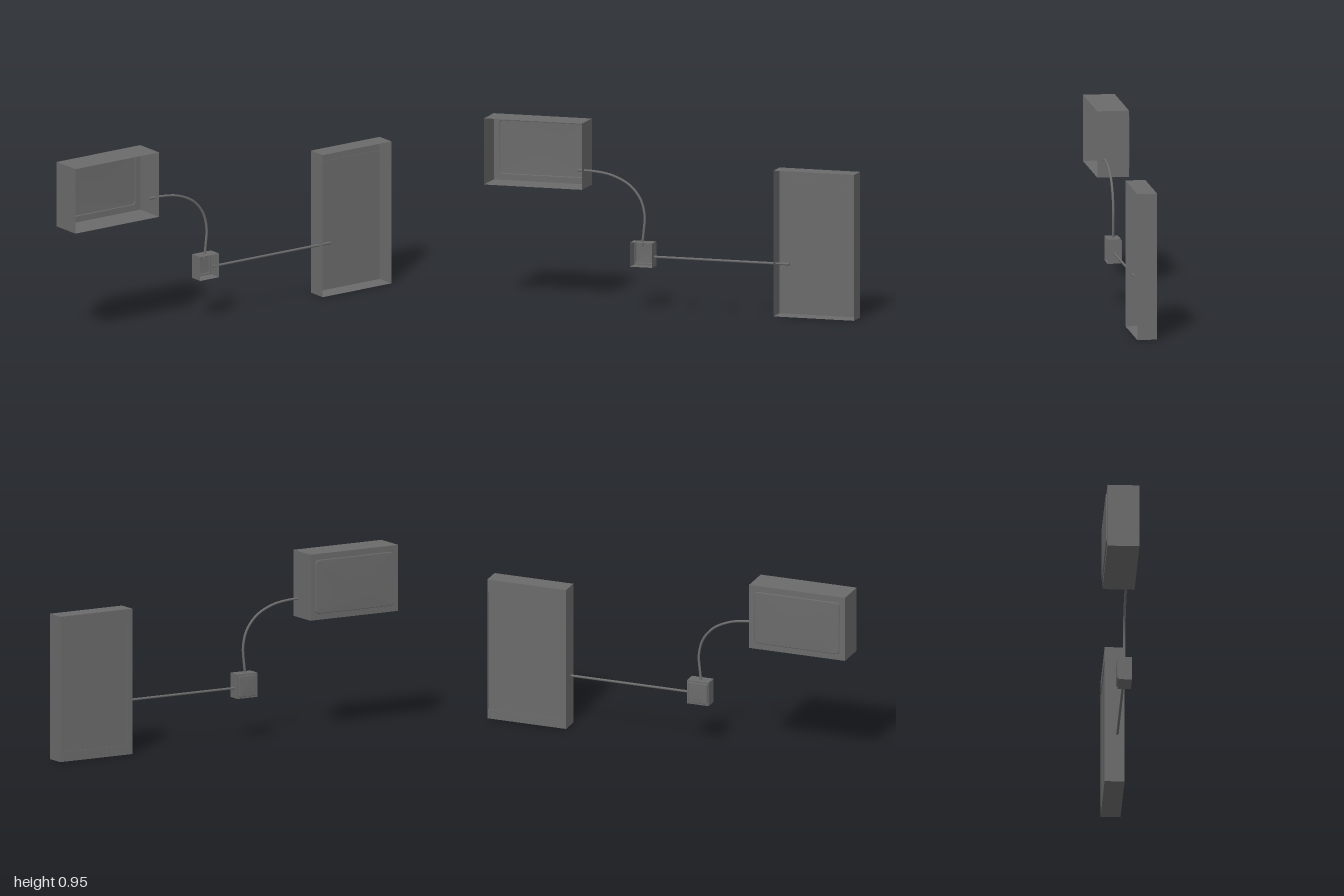
import * as THREE from 'three';

const grey = new THREE.MeshStandardMaterial({ color: 0x6b6b6b, side: THREE.DoubleSide });
grey.name = 'grey';

const BACK = 0.085; // plane of the open backs

// Counter-clockwise rectangle in (z, y) with rounded corners, shrunk by inset
function outline([z0, z1, y0, y1], radius, inset = 0) {
  const r = Math.max(radius - inset, 0), steps = radius > 0 ? 6 : 0, pts = [];
  const a = z0 + inset + r, b = z1 - inset - r, c = y0 + inset + r, d = y1 - inset - r;
  [[b, d], [a, d], [a, c], [b, c]].forEach(([z, y], k) => {
    for (let i = 0; i <= steps; i++) {
      const t = (k + (steps ? i / steps : 0)) * Math.PI / 2;
      pts.push(new THREE.Vector2(z + r * Math.cos(t), y + r * Math.sin(t)));
    }
  });
  return pts;
}

// Joins rings [points, x] into a skin, optionally closing the last with a fan
function loft(rings, cap, flat) {
  const pos = [], index = [], n = rings[0][0].length;
  rings.forEach(([pts, x]) => pts.forEach(p => pos.push(x, p.y, p.x)));
  for (let k = 0; k < rings.length - 1; k++) {
    for (let i = 0; i < n; i++) {
      const a = k * n + i, b = k * n + (i + 1) % n;
      index.push(a, b, b + n, a, b + n, a + n);
    }
  }
  if (cap) {
    const [pts, x] = rings[rings.length - 1], start = (rings.length - 1) * n;
    const mid = pts.reduce((s, p) => s.add(p), new THREE.Vector2()).divideScalar(n);
    pos.push(x, mid.y, mid.x);
    for (let i = 0; i < n; i++) index.push(start + i, start + (i + 1) % n, rings.length * n);
  }
  let geo = new THREE.BufferGeometry();
  geo.setAttribute('position', new THREE.Float32BufferAttribute(pos, 3));
  geo.setIndex(index);
  if (flat) geo = geo.toNonIndexed();
  geo.computeVertexNormals();
  return geo;
}

function part(parent, name, geo) {
  const mesh = new THREE.Mesh(geo, grey);
  mesh.name = name;
  parent.add(mesh);
}

// Open-backed housing whose face at x = front carries a raised or sunken cover
function housing(name, front, rect, coverRect, radius, height, bevel) {
  const group = new THREE.Group();
  group.name = name;
  const edge = outline(rect, 0), hole = outline(coverRect, radius);
  part(group, 'sideWalls', loft([[edge, BACK], [edge, front]], false, true));

  const face = new THREE.Shape(edge);
  face.holes.push(new THREE.Path(hole));
  const faceGeo = new THREE.ShapeGeometry(face).rotateY(-Math.PI / 2).translate(front, 0, 0);
  part(group, 'faceFrame', faceGeo);

  const rings = [[hole, front]];
  if (bevel) rings.push([hole, front - height * 0.6]);
  rings.push([outline(coverRect, radius, bevel), front - height]);
  part(group, 'cover', loft(rings, true, !bevel));
  return group;
}

function cable(name, points) {
  const curve = new THREE.CatmullRomCurve3(points.map(([z, y]) => new THREE.Vector3(0.048, y, z)));
  const group = new THREE.Group();
  group.name = name;
  part(group, 'cableSkin', new THREE.TubeGeometry(curve, points.length > 2 ? 40 : 1, 0.0065, 12));
  // End discs
  [0, 1].forEach(t => {
    const disc = new THREE.CircleGeometry(0.0065, 12);
    const dir = curve.getTangentAt(t).multiplyScalar(t ? 1 : -1);
    disc.applyQuaternion(new THREE.Quaternion().setFromUnitVectors(new THREE.Vector3(0, 0, 1), dir));
    const p = curve.getPointAt(t);
    part(group, 'cableEnd', disc.translate(p.x, p.y, p.z));
  });
  return group;
}

export function createModel() {
  const model = new THREE.Group();
  model.name = 'wallBoxesWithCables';
  model.add(
    housing('screenBox', -0.08, [0.47, 1, 0.605, 0.95], [0.5, 0.97, 0.637, 0.918], 0.02, 0.007, 0.004),
    housing('junctionBox', 0.015, [0.09, 0.21, 0.218, 0.345], [0.098, 0.202, 0.226, 0.337], 0.008, 0.007, 0.003),
    housing('tallCabinet', -0.018, [-1, -0.565, 0, 0.76], [-0.995, -0.592, 0.05, 0.69], 0, -0.003, 0),
    cable('curvedCable', [[0.505, 0.7], [0.42, 0.699], [0.32, 0.683], [0.225, 0.637],
      [0.165, 0.565], [0.143, 0.48], [0.148, 0.4], [0.158, 0.32]]),
    cable('straightCable', [[0.105, 0.27], [-0.64, 0.27]])
  );
  return model;
}
